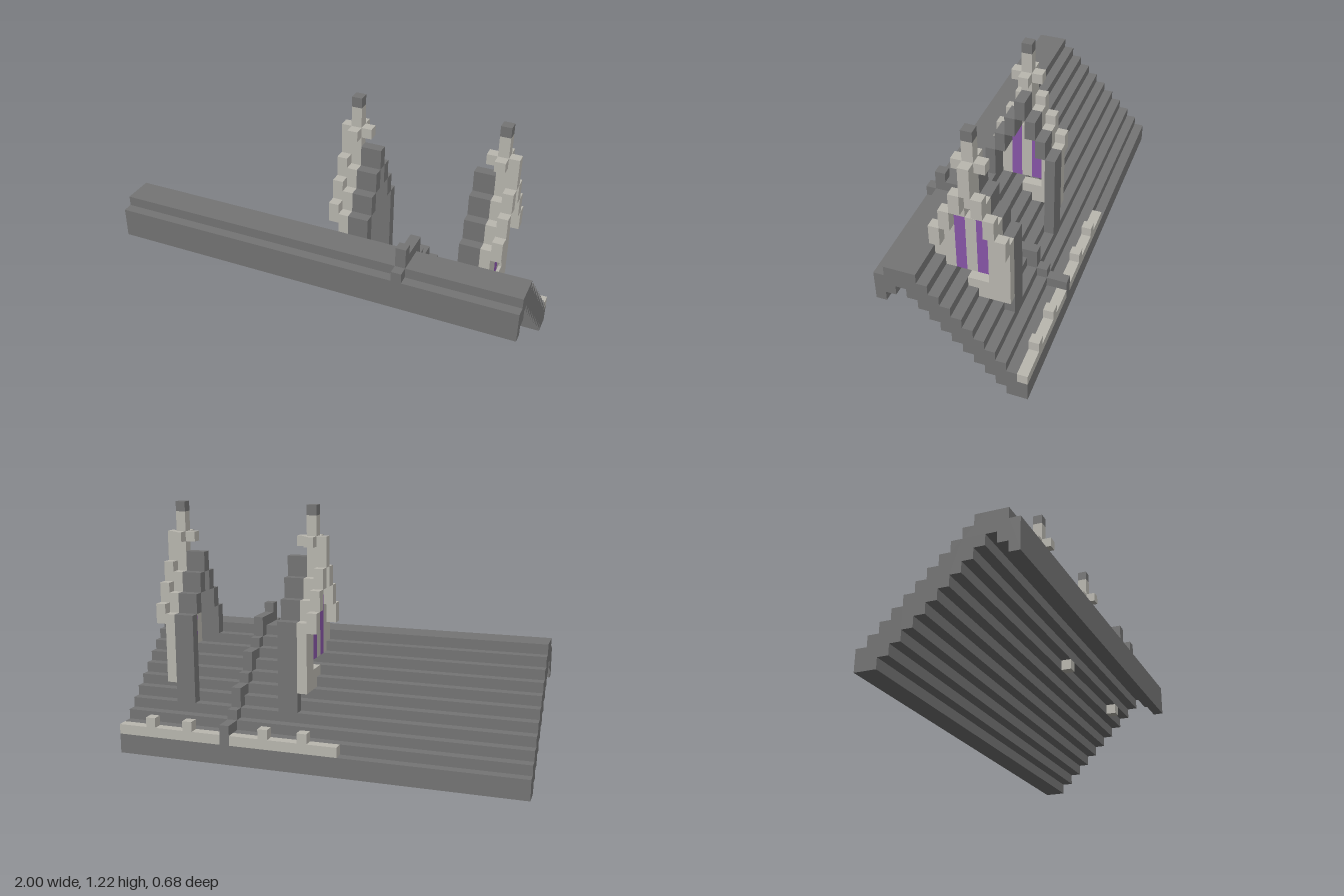
import * as THREE from 'three';

const U = 2 / 41; // one block; the model is 41 x 25 x 14 blocks
const dark = new THREE.MeshStandardMaterial({ name: 'darkStone', color: 0x757575 });
const light = new THREE.MeshStandardMaterial({ name: 'paleStone', color: 0xbab8b0 });
const purple = new THREE.MeshStandardMaterial({ name: 'purpleGlass', color: 0x8855a8 });

// Block-grid limits [from, to) : i along x, j up, k from back to front
function block(parent, name, mat, i0, i1, j0, j1, k0, k1) {
  if (j1 <= j0) return;
  const mesh = new THREE.Mesh(new THREE.BoxGeometry((i1 - i0) * U, (j1 - j0) * U, (k1 - k0) * U), mat);
  mesh.position.set(((i0 + i1) / 2 - 20.5) * U, ((j0 + j1) / 2) * U, ((k0 + k1) / 2 - 7) * U);
  mesh.name = name;
  parent.add(mesh);
}

// Stepped roof section: slope, flat crest and overhanging front lip
const roofTop = k => (k <= 10 ? k + 2 : k === 13 ? 11 : 12);
const roofBottom = k => (k <= 11 ? Math.max(0, k - 1) : 21 - k);

function steppedRoof() {
  const points = [];
  const add = (k, j) => points.push(new THREE.Vector2((k - 7) * U, j * U));
  for (let k = 0; k < 14; k++) { add(k, roofBottom(k)); add(k + 1, roofBottom(k)); }
  for (let k = 13; k >= 0; k--) { add(k + 1, roofTop(k)); add(k, roofTop(k)); }
  const clean = points.filter((p, n) => !p.equals(points[(n + 1) % points.length]));
  const geo = new THREE.ExtrudeGeometry(new THREE.Shape(clean), { depth: 2, bevelEnabled: false });
  geo.translate(0, 0, -1).rotateY(-Math.PI / 2);
  const mesh = new THREE.Mesh(geo, dark);
  mesh.name = 'steppedRoof';
  return mesh;
}

// Gabled dormer whose window faces outward; side -1 mirrors it about the rib
function dormer(side) {
  const g = new THREE.Group();
  g.name = side > 0 ? 'leftDormer' : 'rightDormer';
  const put = (name, mat, i0, i1, ...rest) =>
    side > 0 ? block(g, name, mat, i0, i1, ...rest) : block(g, name, mat, 59 - i1, 59 - i0, ...rest);

  for (let k = 3; k <= 9; k++) {
    const d = Math.abs(k - 6);
    const top = 20 - 2 * d;
    // hollow dark roof: full side walls, two-block stepped shell above
    put('dormerRoof', dark, 34, 36, d === 3 ? roofTop(k) : top - 2, top, k, k + 1);
    // pale gable wall with window opening
    const base = Math.max(7, roofTop(k));
    if (d >= 2) put('gableWall', light, 36, 37, base, top, k, k + 1);
    else {
      put('windowSill', light, 36, 37, base, 9, k, k + 1);
      put('gableWall', light, 36, 37, d === 0 ? 17 : 16, top, k, k + 1);
      put(d ? 'windowPane' : 'windowMullion', d ? purple : light, 36, 37, 10, 16, k, k + 1);
    }
    // raised gable edge
    put('gableTrim', light, 37, 38, top - 1, d ? top + 1 : 22, k, k + 1);
  }
  put('wallFoot', light, 36, 37, 7, 8, 9, 10);

  // finial with cross arms and dark tip
  put('finial', light, 36, 37, 20, 24, 6, 7);
  put('finialTip', dark, 36, 37, 24, 25, 6, 7);
  put('finialArm', light, 35, 36, 21, 22, 6, 7);
  put('finialArm', light, 36, 37, 21, 22, 5, 6);
  put('finialArm', light, 36, 37, 21, 22, 7, 8);
  return g;
}

export function createModel() {
  const model = new THREE.Group();
  model.name = 'roofWithDormers';
  model.add(steppedRoof());

  // rib running up the slope, with a taller block every third step
  const rib = new THREE.Group();
  rib.name = 'roofRib';
  for (let k = 0; k < 14; k++) {
    block(rib, 'ribStep', dark, 29, 30, roofTop(k), roofTop(k) + (k % 3 === 0 ? 2 : 1), k, k + 1);
  }
  model.add(rib);

  // pale parapet along the back eave
  const parapet = new THREE.Group();
  parapet.name = 'eaveParapet';
  block(parapet, 'parapetBand', light, 18, 29, 2, 3, 0, 1);
  block(parapet, 'parapetBand', light, 30, 41, 2, 3, 0, 1);
  for (const i of [21, 25, 33, 37]) block(parapet, 'parapetTooth', light, i, i + 1, 3, 4, 0, 1);
  model.add(parapet);

  model.add(dormer(1), dormer(-1));
  return model;
}
